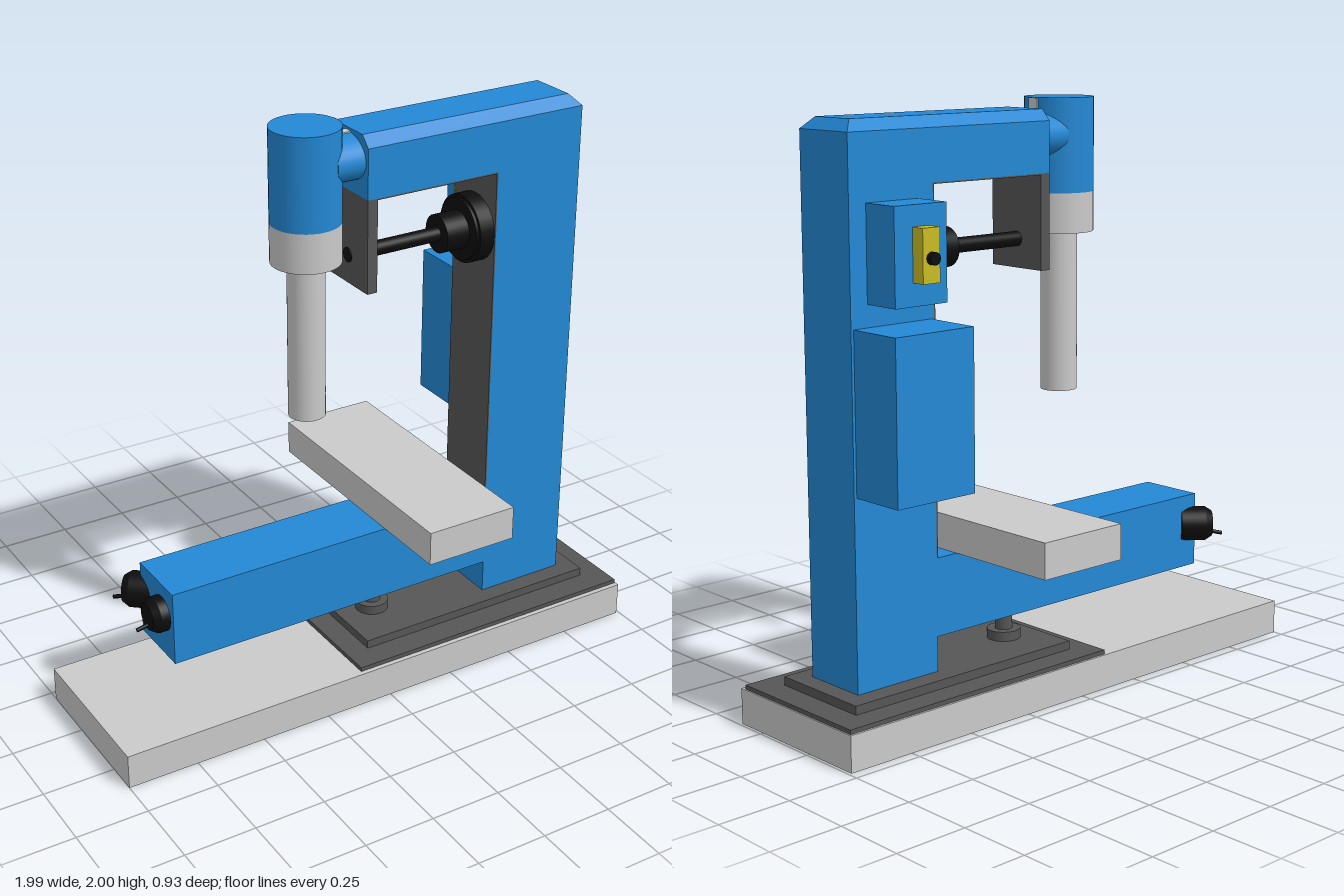
import * as THREE from 'three';

const mat = (name, color) => {
  const m = new THREE.MeshStandardMaterial({ color });
  m.name = name;
  return m;
};

export function createModel() {
  const blue = mat('blue paint', 0x2388d4);
  const light = mat('light grey metal', 0xcacaca);
  const dark = mat('dark grey metal', 0x565656);
  const black = mat('black rubber', 0x0d0d0d);
  const yellow = mat('yellow plastic', 0xc9bb25);

  const model = new THREE.Group();
  model.name = 'press';
  const Z = 0.073, W = 0.238; // centre plane and thickness of the frame
  const Z0 = Z - W / 2, Z1 = Z + W / 2;

  const add = (name, geometry, material, parent = model) => {
    const m = new THREE.Mesh(geometry, material);
    m.name = name;
    parent.add(m);
    return m;
  };
  // box from its limits on each axis
  const box = (name, material, x0, x1, y0, y1, z0, z1) => {
    const m = add(name, new THREE.BoxGeometry(x1 - x0, y1 - y0, z1 - z0), material);
    m.position.set((x0 + x1) / 2, (y0 + y1) / 2, (z0 + z1) / 2);
    return m;
  };
  // upright cylinder between two heights
  const post = (name, material, x, z, r, y0, y1) => {
    const m = add(name, new THREE.CylinderGeometry(r, r, y1 - y0, 40), material);
    m.position.set(x, (y0 + y1) / 2, z);
    return m;
  };
  // cylinder lying along x; r0 at x0, r1 at x1
  const rod = (name, material, x0, x1, y, z, r0, r1 = r0, parent = model) => {
    const g = new THREE.CylinderGeometry(r0, r1, x1 - x0, 32).rotateZ(Math.PI / 2);
    const m = add(name, g, material, parent);
    m.position.set((x0 + x1) / 2, y, z);
    return m;
  };

  // base and stepped mounting plates
  box('base', light, -1, 0.99, 0, 0.122, -0.213, 0.364);
  box('lowerMountPlate', dark, -0.11, 0.985, 0.122, 0.137, -0.205, 0.347);
  box('upperMountPlate', dark, -0.028, 0.895, 0.137, 0.167, -0.118, 0.257);

  // C-shaped frame
  const outline = [[0.5, 0.167], [0.83, 0.167], [0.83, 1.93], [0, 1.93], [0, 1.76],
    [0.5, 1.76], [0.5, 0.55], [-0.735, 0.55], [-0.735, 0.285], [0.5, 0.285]];
  const frame = add('frame', new THREE.ExtrudeGeometry(
    new THREE.Shape(outline.map(p => new THREE.Vector2(...p))),
    { depth: W, bevelEnabled: false }), blue);
  frame.position.z = Z0;

  // chamfered cap: sides and right end slope inwards
  const cap = new THREE.BoxGeometry(0.83, 0.037, W);
  const p = cap.attributes.position;
  for (let i = 0; i < p.count; i++) {
    if (p.getY(i) < 0) continue;
    p.setZ(i, p.getZ(i) - Math.sign(p.getZ(i)) * 0.035);
    if (p.getX(i) > 0) p.setX(i, p.getX(i) - 0.035);
  }
  const capGeometry = cap.toNonIndexed();
  capGeometry.computeVertexNormals();
  add('frameCap', capGeometry, blue).position.set(0.415, 1.9485, Z);

  // dark lining of the throat
  box('columnLining', dark, 0.495, 0.5, 0.55, 1.76, Z0, Z1);
  box('armLining', dark, 0, 0.5, 1.755, 1.76, Z0, Z1);

  // drilling head
  const HX = -0.157;
  post('headHousing', blue, HX, Z, 0.117, 1.685, 2);
  post('headCollar', light, HX, Z, 0.117, 1.55, 1.685);
  post('spindle', light, HX, Z, 0.0625, 1.005, 1.55);
  const neck = rod('headNeck', blue, -0.1, 0, 1.877, Z, 1);
  neck.scale.set(1, 0.078, 0.106);
  box('neckStrip', light, -0.045, 0, 1.952, 1.958, Z - 0.016, Z + 0.016);
  box('headStrip', light, -0.043, -0.037, 1.952, 1.998, Z - 0.02, Z + 0.02);

  // hanging bracket and adjusting shaft
  box('shaftBracket', dark, 0, 0.037, 1.44, 1.757, Z0, Z1);
  rod('shaft', black, -0.003, 0.36, 1.537, Z, 0.025);
  rod('shaftHub', black, 0.345, 0.435, 1.537, Z, 0.066);
  rod('handwheelStep', black, 0.43, 0.462, 1.537, Z, 0.107);
  rod('handwheel', black, 0.44, 0.496, 1.537, Z, 0.118);

  // work table and levelling foot
  box('table', light, 0.08, 0.415, 0.55, 0.67, -0.465, 0.468);
  post('footDisc', dark, 0.103, Z, 0.058, 0.167, 0.2);
  post('footStem', dark, 0.103, Z, 0.03, 0.2, 0.286);

  // electrical boxes behind the column
  box('lowerCabinet', blue, 0.51, 0.82, 0.805, 1.333, -0.247, Z0);
  box('switchBox', blue, 0.56, 0.765, 1.405, 1.715, -0.181, Z0);
  box('switchPlate', yellow, 0.628, 0.695, 1.478, 1.648, -0.229, -0.181);
  const knob = add('switchKnob', new THREE.CylinderGeometry(0.02, 0.02, 0.02, 24), black);
  knob.rotation.x = Math.PI / 2;
  knob.position.set(0.661, 1.555, -0.238);
  [[1.6, yellow, 0.011], [1.54, yellow, 0.011], [1.475, black, 0.017]].forEach(([y, m, r], i) =>
    rod('switchButton' + (i + 1), m, 0.542, 0.56, y, -0.113, r));

  // clamp knobs at the end of the lower arm, pointing along -x before turning
  const clampKnob = (name, x, z, turn, depth) => {
    const g = new THREE.Group();
    g.name = name;
    rod('knobFace', black, -0.055, -0.03, 0, 0, 0.046, 0.062, g);
    rod('knobBody', black, -0.03, depth, 0, 0, 0.062, 0.062, g);
    const pin = rod('knobPin', black, -0.095, -0.04, -0.033, 0, 0.007, 0.007, g);
    pin.rotation.z = 0.2;
    g.position.set(x, 0.44, z);
    g.rotation.y = turn;
    model.add(g);
  };
  clampKnob('endKnob', -0.735, 0.11, 0, 0.005);
  clampKnob('cornerKnob', -0.733, -0.056, -0.69, 0.06);

  return model;
}
